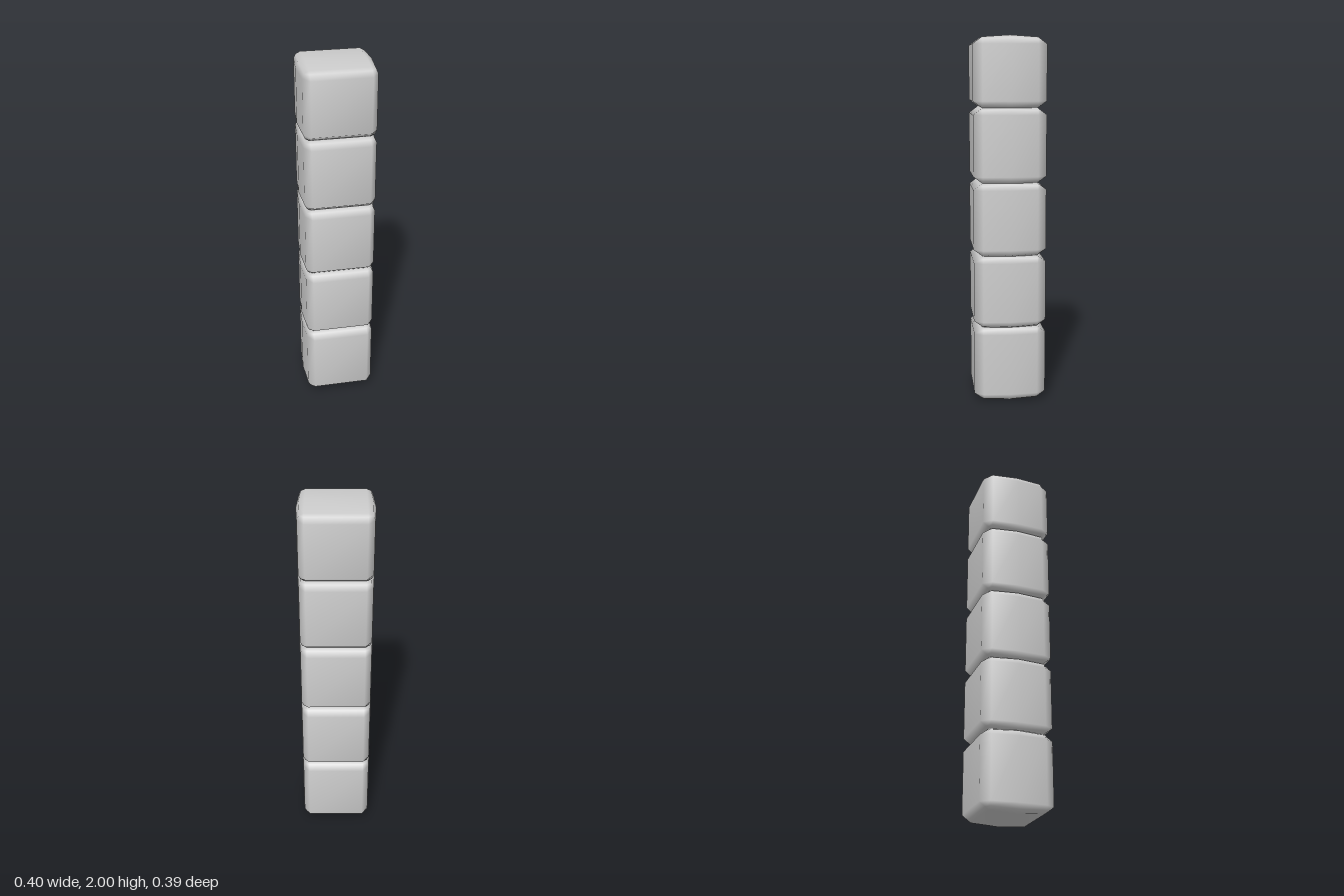
import * as THREE from 'three';
import { mergeVertices } from 'three/addons/utils/BufferGeometryUtils.js';

const CHAMFER = 0.036; // height of the rounded edge
const BULGE = 0.01; // rise of the crowned top and bottom

// Body outline (x, z) and the matching outline of the top and bottom caps
const half = [[0.155, 0.197], [0.19, 0.148], [0.2, 0], [0.19, -0.148], [0.155, -0.197]];
const body = [...half, ...half.map(([x, z]) => [-x, -z])];
const cap = body.map(([x, z]) => [Math.sign(x) * 0.155, THREE.MathUtils.clamp(z, -0.148, 0.148)]);

// One soft-edged block lofted between two heights
function blockGeometry(bottom, top) {
  const pos = [], index = [], n = body.length;
  // dir: -1 bottom, 1 top; rise: part of the chamfer climbed; inset: how far x has moved in
  const rings = [[-1, 1, 1], [-1, 0.65, 0.3], [-1, 0, 0], [1, 0, 0], [1, 0.65, 0.3], [1, 1, 1]];
  for (const [dir, rise, inset] of rings) {
    const edge = dir < 0 ? bottom : top;
    body.forEach(([x, z], i) => {
      const crown = z === 0 ? BULGE * rise : 0;
      pos.push(
        THREE.MathUtils.lerp(x, cap[i][0], inset),
        edge + dir * (crown - CHAMFER * (1 - rise)),
        THREE.MathUtils.lerp(z, cap[i][1], rise)
      );
    });
  }
  for (let r = 0; r < rings.length - 1; r++) {
    for (let i = 0; i < n; i++) {
      const a = r * n + i, b = r * n + (i + 1) % n;
      index.push(a, b, b + n, a, b + n, a + n);
    }
  }
  // Crowned caps, two panels each
  const last = (rings.length - 1) * n;
  for (const [a, b, c, d] of [[1, 2, 7, 8], [2, 3, 6, 7]]) {
    index.push(last + a, last + b, last + c, last + a, last + c, last + d);
    index.push(a, c, b, a, d, c);
  }
  let geo = new THREE.BufferGeometry();
  geo.setAttribute('position', new THREE.Float32BufferAttribute(pos, 3));
  geo.setIndex(index);
  geo = mergeVertices(geo, 1e-4);
  geo.computeVertexNormals();
  return geo;
}

export function createModel() {
  const group = new THREE.Group();
  group.name = 'blockColumn';
  const material = new THREE.MeshStandardMaterial({ color: 0xcccccc });
  // Heights of the seams between the stacked blocks
  const seams = [0.01, 0.425, 0.824, 1.222, 1.622, 1.99];
  for (let i = 0; i < seams.length - 1; i++) {
    const block = new THREE.Mesh(blockGeometry(seams[i], seams[i + 1]), material);
    block.name = `block${i + 1}`;
    group.add(block);
  }
  return group;
}
